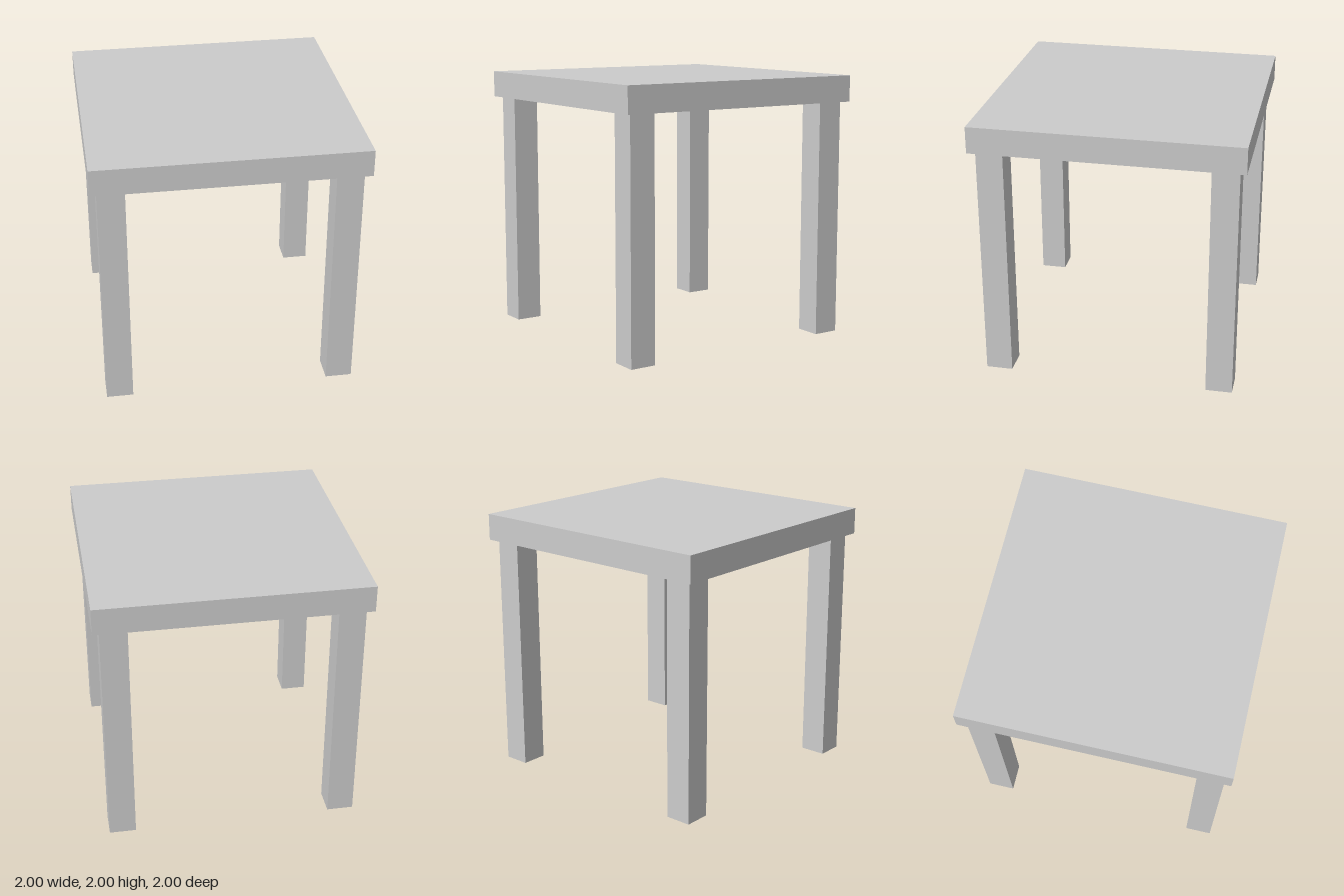
import * as THREE from 'three';

const TOP_SIZE = 2, TOP_THICKNESS = 0.2;
const LEG_HEIGHT = 1.8, LEG_WIDTH = 0.2, LEG_OFFSET = 0.85;

export function createModel() {
  const table = new THREE.Group();
  table.name = 'table';
  const material = new THREE.MeshStandardMaterial({ color: 0xcccccc });

  // Square slab top
  const top = new THREE.Mesh(new THREE.BoxGeometry(TOP_SIZE, TOP_THICKNESS, TOP_SIZE), material);
  top.name = 'tableTop';
  top.position.y = LEG_HEIGHT + TOP_THICKNESS / 2;
  table.add(top);

  // Four square legs, set in slightly from the corners
  const legGeometry = new THREE.BoxGeometry(LEG_WIDTH, LEG_HEIGHT, LEG_WIDTH);
  for (const [zSide, zName] of [[1, 'front'], [-1, 'back']]) {
    for (const [xSide, xName] of [[1, 'Left'], [-1, 'Right']]) {
      const leg = new THREE.Mesh(legGeometry, material);
      leg.name = `${zName}${xName}Leg`;
      leg.position.set(xSide * LEG_OFFSET, LEG_HEIGHT / 2, zSide * LEG_OFFSET);
      table.add(leg);
    }
  }
  return table;
}
